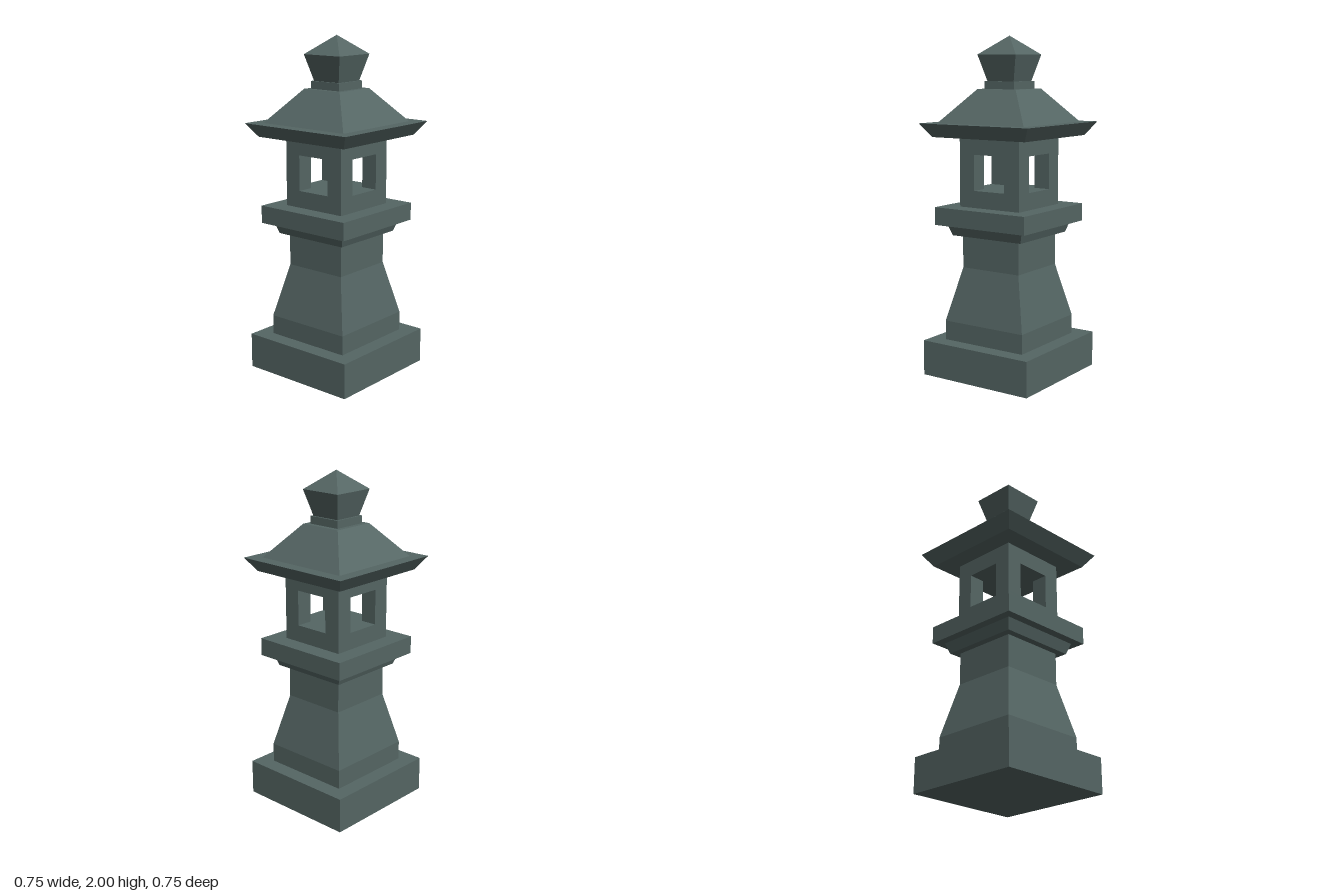
import * as THREE from 'three';

// Square solid from [halfWidth, y] pairs listed bottom to top, with flat faces
function squareSolid(profile) {
  const pts = [[0, profile[0][1]], ...profile];
  const last = profile[profile.length - 1];
  if (last[0] > 0) pts.push([0, last[1]]);
  const points = pts.map(([w, y]) => new THREE.Vector2(w * Math.SQRT2, y));
  const geo = new THREE.LatheGeometry(points, 4, Math.PI / 4).toNonIndexed();
  geo.computeVertexNormals();
  return geo;
}

export function createModel() {
  const stone = new THREE.MeshStandardMaterial({ color: 0x556664 });
  stone.name = 'grey green stone';

  const model = new THREE.Group();
  model.name = 'stoneLantern';

  const add = (name, geo, parent = model) => {
    const mesh = new THREE.Mesh(geo, stone);
    mesh.name = name;
    parent.add(mesh);
    return mesh;
  };

  // Foot and tapered shaft
  add('base', squareSolid([[0.367, 0], [0.367, 0.21]]));
  add('shaft', squareSolid([[0.273, 0.21], [0.273, 0.325], [0.197, 0.645], [0.197, 0.84]]));

  // Flared collar and the platform it carries
  add('collar', squareSolid([[0.24, 0.84], [0.262, 0.905]]));
  add('platform', squareSolid([[0.314, 0.905], [0.314, 1.01]]));

  // Light chamber: sill, lintel and four corner posts around open windows
  const outer = 0.208, inner = 0.107, low = 1.11, high = 1.32;
  const chamber = new THREE.Group();
  chamber.name = 'lightChamber';
  model.add(chamber);
  add('sill', squareSolid([[outer, 1.01], [outer, low]]), chamber);
  add('lintel', squareSolid([[outer, high], [outer, 1.42]]), chamber);
  const post = new THREE.BoxGeometry(outer - inner, high - low, outer - inner);
  const mid = (outer + inner) / 2;
  for (const sx of [-1, 1]) {
    for (const sz of [-1, 1]) {
      add('cornerPost', post, chamber).position.set(sx * mid, (low + high) / 2, sz * mid);
    }
  }

  // Roof with undercut eaves and a flat ledge around the slope
  add('roof', squareSolid([[0.32, 1.42], [0.376, 1.5], [0.3, 1.5], [0.133, 1.695]]));

  // Neck and pointed finial
  add('neck', squareSolid([[0.104, 1.695], [0.104, 1.74]]));
  add('finial', squareSolid([[0.092, 1.74], [0.133, 1.892], [0, 2]]));

  return model;
}
